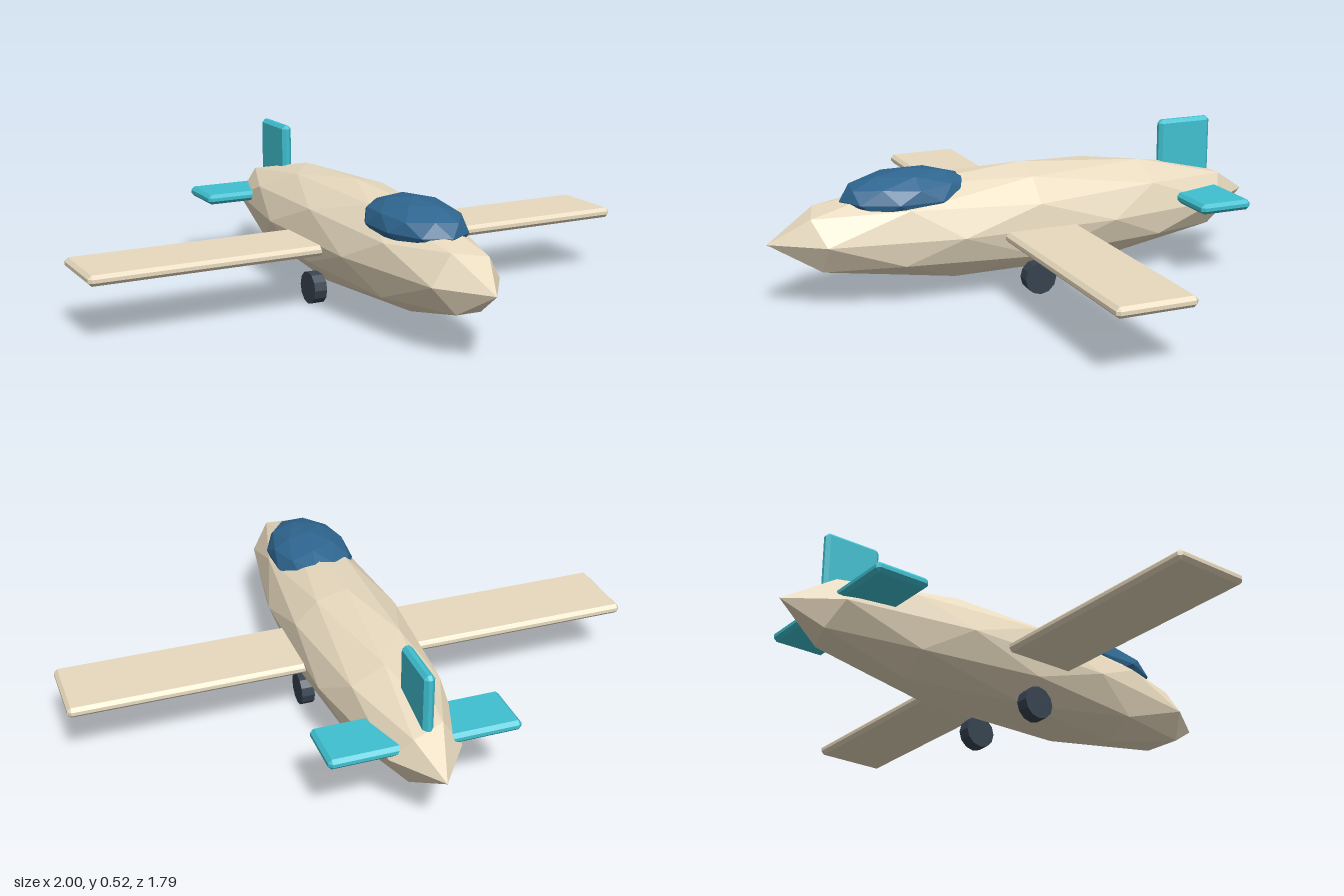
import * as THREE from 'three';
import { ConvexGeometry } from 'three/addons/geometries/ConvexGeometry.js';

const paint = (color) => new THREE.MeshStandardMaterial({ color, flatShading: true, side: THREE.FrontSide });

// Faceted ellipsoid: one corner straight up, an edge midpoint at the nose
function ellipsoid(rx, ry, rz) {
  const g = new THREE.IcosahedronGeometry(1, 1);
  g.rotateZ(-Math.atan(2 / (1 + Math.sqrt(5))));
  g.scale(rx, ry, rz);
  g.computeVertexNormals();
  return g;
}

// Box with all edges chamfered by b
function chamferBox(w, h, d, b) {
  const points = [];
  for (const sx of [-1, 1]) for (const sy of [-1, 1]) for (const sz of [-1, 1]) {
    for (let axis = 0; axis < 3; axis++) {
      const inset = [b, b, b];
      inset[axis] = 0;
      points.push(new THREE.Vector3(
        sx * (w / 2 - inset[0]), sy * (h / 2 - inset[1]), sz * (d / 2 - inset[2])));
    }
  }
  return new ConvexGeometry(points);
}

export function createModel() {
  const group = new THREE.Group();
  const cream = paint(0xe8dabf);
  const teal = paint(0x40c0d0);
  const glass = paint(0x2f6690);
  const rubber = paint(0x36424f);

  const add = (name, geometry, material, x, y, z) => {
    const mesh = new THREE.Mesh(geometry, material);
    mesh.name = name;
    mesh.position.set(x, y, z);
    group.add(mesh);
  };

  // Body and cockpit
  add('fuselage', ellipsoid(0.208, 0.19, 0.895), cream, 0, 0.235, 0);
  add('canopy', ellipsoid(0.147, 0.09, 0.24), glass, 0, 0.354, 0.408);

  // Flying surfaces
  add('wing', chamferBox(2, 0.036, 0.27, 0.012), cream, 0, 0.22, 0);
  add('tailplane', chamferBox(0.64, 0.036, 0.194, 0.012), teal, 0, 0.268, -0.643);
  add('tailFin', chamferBox(0.036, 0.21, 0.204, 0.012), teal, 0, 0.417, -0.643);

  // Wheels
  const wheel = new THREE.CylinderGeometry(0.057, 0.057, 0.046, 12);
  wheel.rotateZ(Math.PI / 2);
  for (const [name, side] of [['leftWheel', 1], ['rightWheel', -1]]) {
    add(name, wheel, rubber, side * 0.161, 0.057, 0);
  }
  return group;
}
